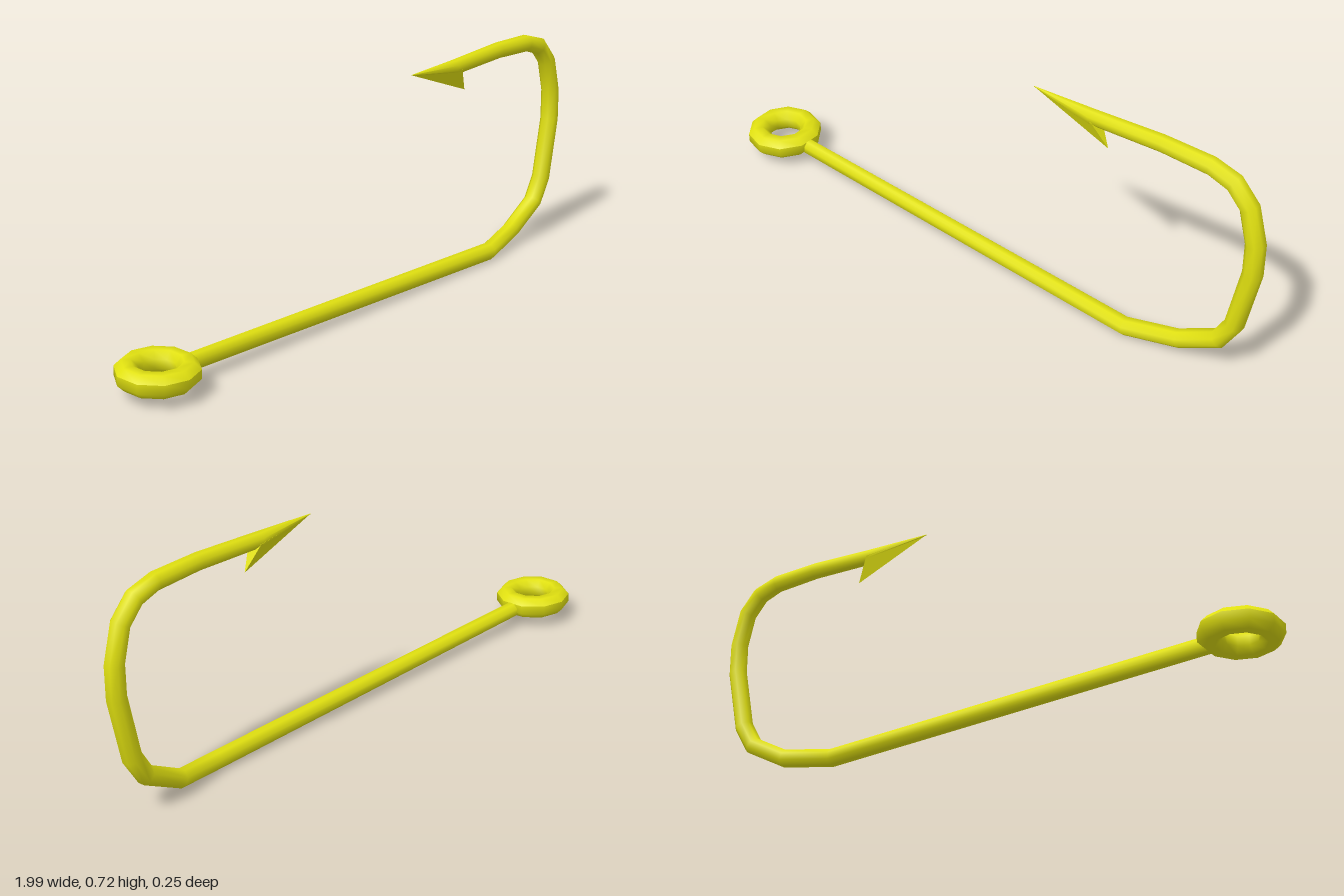
import * as THREE from 'three';

const material = new THREE.MeshStandardMaterial({ color: 0xe0e010, side: THREE.DoubleSide });

// Sweeps a round section along stations of [x, y, z, radius].
function sweep(stations, sides = 8) {
  const points = stations.map(([x, y, z]) => new THREE.Vector3(x, y, z));
  const positions = [];
  const index = [];
  points.forEach((p, i) => {
    const before = points[Math.max(i - 1, 0)];
    const after = points[Math.min(i + 1, points.length - 1)];
    const inward = p.clone().sub(before).normalize();
    const outward = after.clone().sub(p).normalize();
    const tangent = inward.add(outward).normalize();
    const b = new THREE.Vector3(0, 0, 1).addScaledVector(tangent, -tangent.z).normalize();
    const n = b.clone().cross(tangent);
    for (let j = 0; j < sides; j++) {
      const a = ((j + 0.5) / sides) * Math.PI * 2;
      const v = p.clone()
        .addScaledVector(n, Math.cos(a) * stations[i][3])
        .addScaledVector(b, Math.sin(a) * stations[i][3]);
      positions.push(v.x, v.y, v.z);
      if (i < points.length - 1) {
        const q = i * sides + j;
        const r = i * sides + ((j + 1) % sides);
        index.push(q, r, r + sides, q, r + sides, q + sides);
      }
    }
  });
  const geometry = new THREE.BufferGeometry();
  geometry.setAttribute('position', new THREE.Float32BufferAttribute(positions, 3));
  geometry.setIndex(index);
  geometry.computeVertexNormals();
  return geometry;
}

export function createModel() {
  const model = new THREE.Group();
  const add = (name, geometry) => {
    const mesh = new THREE.Mesh(geometry, material);
    mesh.name = name;
    model.add(mesh);
    return mesh;
  };

  // Line eye: ten-sided ring with an octagonal section
  const section = [];
  for (let i = 0; i <= 8; i++) {
    const a = ((i + 0.5) / 8) * Math.PI * 2;
    section.push(new THREE.Vector2(0.088 + 0.037 * Math.cos(a), 0.037 * Math.sin(a)));
  }
  const eye = add('eye', new THREE.LatheGeometry(section, 10));
  eye.position.set(-0.881, 0.072, 0);
  eye.rotation.x = 0.03;

  // Shank, bend and tapering point in one continuous wire
  add('hookWire', sweep([
    [-0.79, 0.063, 0.003, 0.026],
    [0.58, 0.031, 0.07, 0.029],
    [0.75, 0.055, 0.042, 0.029],
    [0.88, 0.124, 0.04, 0.03],
    [0.926, 0.2, 0.04, 0.03],
    [0.967, 0.4, 0.04, 0.03],
    [0.967, 0.5, 0.04, 0.03],
    [0.938, 0.61, 0.04, 0.03],
    [0.885, 0.668, 0.04, 0.03],
    [0.81, 0.691, 0.04, 0.028],
    [0.65, 0.696, 0.04, 0.026],
    [0.41, 0.685, 0.04, 0.024],
    [0.2, 0.7, 0.035, 0.001],
  ]));

  // Barb: slim pyramid from the tip to a trailing spur
  const tip = [0.2, 0.7, 0.035];
  const spur = [0.47, 0.602, 0.04];
  const front = [0.425, 0.68, 0.064];
  const back = [0.425, 0.68, 0.016];
  const barb = new THREE.BufferGeometry();
  barb.setAttribute('position', new THREE.Float32BufferAttribute([
    tip, spur, front,
    tip, back, spur,
    spur, back, front,
    tip, front, back,
  ].flat(), 3));
  barb.computeVertexNormals();
  add('barb', barb);

  return model;
}
